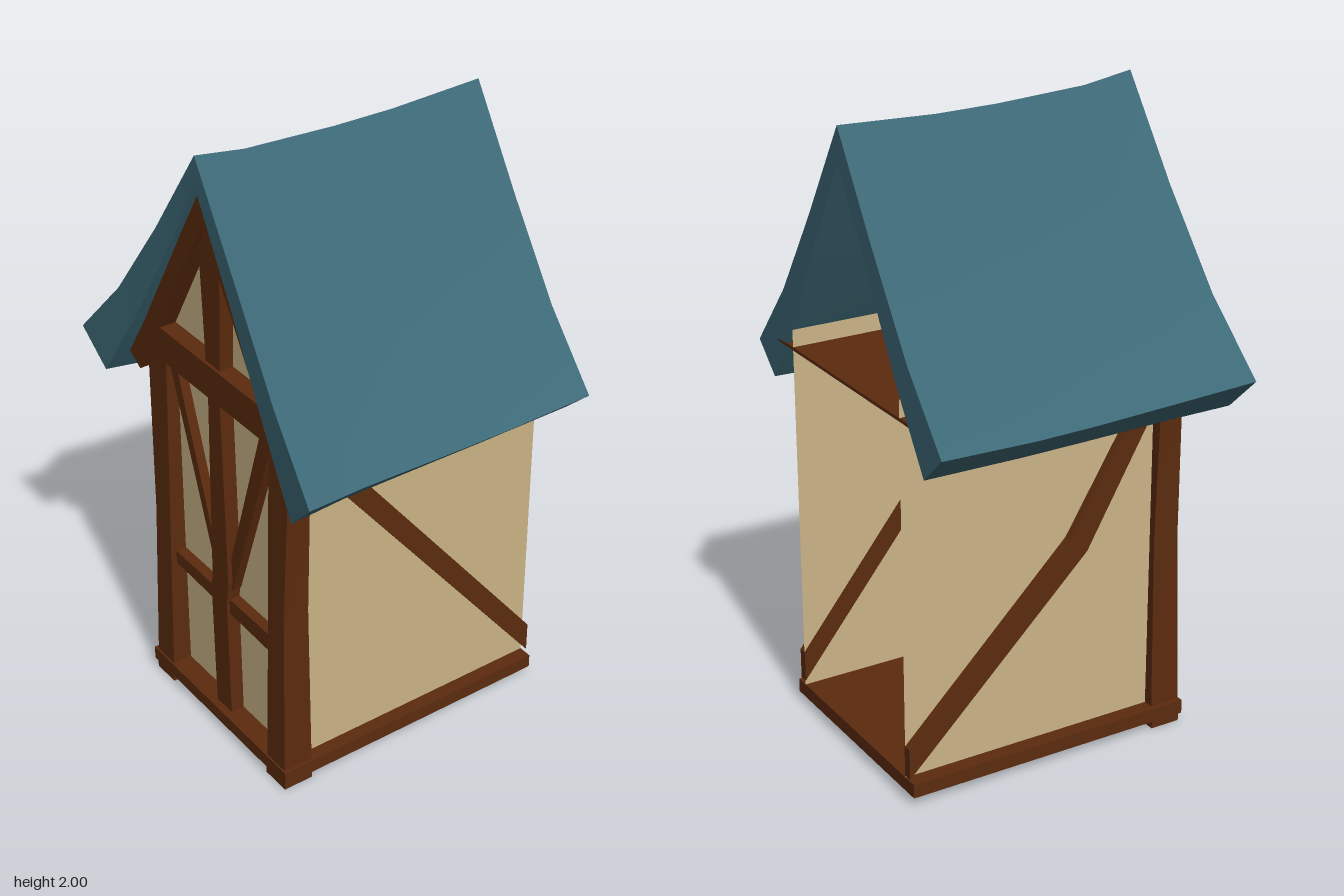
import * as THREE from 'three';
import { toCreasedNormals } from 'three/addons/utils/BufferGeometryUtils.js';

const mat = (name, color, side = THREE.FrontSide) => {
  const m = new THREE.MeshStandardMaterial({ color, side });
  m.name = name;
  return m;
};

export function createModel() {
  const group = new THREE.Group();
  const timber = mat('brown timber', 0x5c2b0e);
  const plaster = mat('cream plaster', 0xcbb486, THREE.DoubleSide);
  const slate = mat('teal roofing', 0x3d6977);

  const add = (name, geometry, material) => {
    const mesh = new THREE.Mesh(geometry, material);
    mesh.name = name;
    group.add(mesh);
    return mesh;
  };
  const shapeOf = (pts) => new THREE.Shape(pts.map(([x, y]) => new THREE.Vector2(x, y)));
  const box = (name, x0, x1, y0, y1, z0, z1) => {
    const g = new THREE.BoxGeometry(x1 - x0, y1 - y0, z1 - z0);
    g.translate((x0 + x1) / 2, (y0 + y1) / 2, (z0 + z1) / 2);
    return add(name, g, timber);
  };
  // flat timber with an outline in x, y and a depth along z
  const beam = (name, pts, z0, z1) => {
    const g = new THREE.ExtrudeGeometry(shapeOf(pts), { depth: z1 - z0, bevelEnabled: false });
    g.translate(0, 0, z0);
    return add(name, g, timber);
  };

  // base slab, feet and loft floor
  box('sill', -0.375, 0.37, 0.03, 0.075, -0.51, 0.45);
  box('leftFoot', 0.26, 0.36, 0, 0.03, 0.345, 0.445);
  box('rightFoot', -0.365, -0.27, 0, 0.03, 0.345, 0.445);
  box('loftFloor', -0.425, 0.425, 1.205, 1.215, -0.51, 0.38);

  // plaster walls, the back stays open
  for (const s of [-1, 1]) {
    const g = new THREE.PlaneGeometry(0.89, 1.21);
    g.rotateY(s * Math.PI / 2);
    g.translate(s * 0.325, 0.665, -0.065);
    add(s > 0 ? 'leftWall' : 'rightWall', g, plaster);
  }
  const front = new THREE.ShapeGeometry(shapeOf([
    [-0.325, 0.06], [0.325, 0.06], [0.325, 1.27], [0, 1.83], [-0.325, 1.27]]));
  front.translate(0, 0, 0.38);
  add('frontWall', front, plaster);

  // corner posts, slimmer in the middle and leaning back at the top
  for (const s of [-1, 1]) {
    const g = new THREE.BoxGeometry(0.1, 1.18, 0.1, 1, 2, 1);
    const p = g.attributes.position;
    for (let i = 0; i < p.count; i++) {
      const t = p.getY(i) / 1.18 + 0.5;
      const outer = t < 0.25 ? 0.36 : t < 0.75 ? 0.348 : 0.368;
      p.setXYZ(i, s * (p.getX(i) * s > 0 ? outer : 0.267), 0.05 + t * 1.18,
        p.getZ(i) > 0 ? 0.445 - 0.027 * t : 0.345);
    }
    g.computeVertexNormals();
    add(s > 0 ? 'leftPost' : 'rightPost', g, timber);
  }

  // front framing
  beam('middlePost', [[-0.04, 0.06], [0.04, 0.06], [0.033, 0.5], [0.045, 0.58], [0.03, 1.24],
    [-0.03, 1.24], [-0.042, 0.58], [-0.05, 0.5]], 0.37, 0.425);
  beam('kingPost', [[-0.035, 1.31], [0.035, 1.31], [0.055, 1.74], [-0.055, 1.74]], 0.37, 0.425);
  beam('middleRail', [[-0.285, 0.468], [0.275, 0.45], [0.275, 0.512], [-0.285, 0.512]], 0.37, 0.415);
  beam('collarBeam', [[-0.34, 1.22], [0.34, 1.22], [0.27, 1.33], [-0.27, 1.33]], 0.37, 0.435);
  beam('leftDiagonal', [[0.03, 0.56], [0.045, 0.55], [0.28, 1.23], [0.22, 1.23], [0.03, 0.63]], 0.37, 0.41);
  beam('rightDiagonal', [[-0.03, 0.57], [-0.045, 0.58], [-0.27, 1.23], [-0.23, 1.23], [-0.03, 0.62]], 0.37, 0.41);
  beam('gableTrim', [[0, 1.9], [-0.17, 1.615], [-0.3, 1.39], [-0.44, 1.18], [-0.375, 1.14], [-0.25, 1.36],
    [-0.13, 1.57], [0, 1.78], [0.13, 1.57], [0.25, 1.36], [0.375, 1.14], [0.44, 1.18], [0.3, 1.39], [0.17, 1.615]],
    0.365, 0.445);

  // side braces, drawn in z, y and turned onto the walls
  const brace = (name, pts, x0) => {
    const g = new THREE.ExtrudeGeometry(shapeOf(pts.map(([z, y]) => [-z, y])),
      { depth: 0.03, bevelEnabled: false });
    g.rotateY(Math.PI / 2);
    g.translate(x0, 0, 0);
    add(name, g, timber);
  };
  brace('leftBrace', [[-0.51, 0.09], [-0.51, 0.19], [0.26, 1.16], [0.345, 1.16]], 0.322);
  brace('rightBrace', [[-0.51, 0.08], [-0.51, 0.18], [0.04, 0.72], [0.31, 1.16], [0.38, 1.16], [0.1, 0.67]], -0.352);

  // flared roof shell: cross-sections from front to back as [z, width factor, drop]
  const outer = [[0.595, 1.205], [0.4, 1.42], [0.2, 1.7], [0, 2]];
  const inner = [[0.49, 1.098], [0.33, 1.345], [0.17, 1.615], [0, 1.9]];
  const full = (half) => [...half, ...half.slice(0, 3).reverse().map(([x, y]) => [-x, y])];
  const section = [...full(outer), ...full(inner).reverse()];
  const stations = [[0.46, 1, 0], [0.3, 0.942, 0.026], [0, 0.925, 0.042], [-0.2, 0.925, 0.045], [-0.51, 0.936, 0.035]];
  const n = section.length;
  const pos = [];
  const idx = [];
  stations.forEach(([z, w, drop], s) => section.forEach(([x, y], i) => {
    const bow = s === 0 ? 0.05 * Math.pow(Math.abs(x) / 0.595, 1.4) : 0;
    const soften = i === 7 || i === n - 1 ? 0.55 : 1;
    pos.push(x * w, y - drop * soften, z + bow);
  }));
  const quad = (a, b, c, d) => idx.push(a, b, c, a, c, d);
  for (let s = 0; s < stations.length - 1; s++) {
    for (let i = 0; i < n; i++) {
      const j = (i + 1) % n;
      quad(s * n + i, (s + 1) * n + i, (s + 1) * n + j, s * n + j);
    }
  }
  const last = (stations.length - 1) * n;
  for (let i = 0; i < 6; i++) {
    const a = i, b = i + 1, c = n - 2 - i, d = n - 1 - i;
    quad(a, b, c, d);
    quad(last + d, last + c, last + b, last + a);
  }
  const roof = new THREE.BufferGeometry();
  roof.setAttribute('position', new THREE.Float32BufferAttribute(pos, 3));
  roof.setIndex(idx);
  add('roof', toCreasedNormals(roof, 0.5), slate);

  return group;
}
